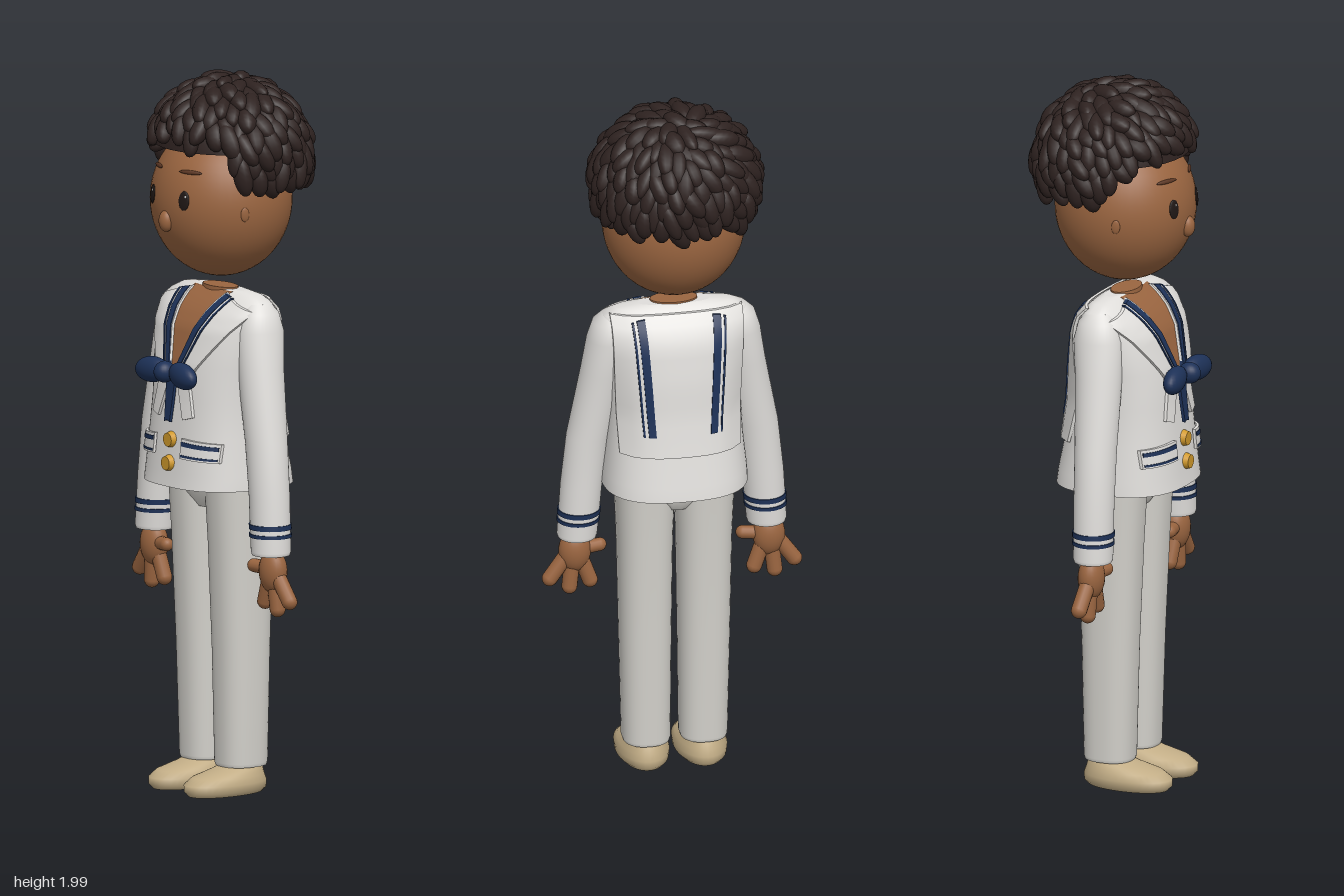
import * as THREE from 'three';

const mat = (name, color) => Object.assign(new THREE.MeshStandardMaterial({ color }), { name });
const M = {
  skin: mat('skin', 0x9a6540), white: mat('white cloth', 0xe0dedb), trousers: mat('trouser cloth', 0xd3d1cb),
  navy: mat('navy trim', 0x1d3157), hair: mat('dark hair', 0x2e2220), shoe: mat('tan shoe', 0xc2ad86),
  gold: mat('gold button', 0xd19a2c), eye: mat('eye', 0x1f1715), brow: mat('brow', 0x5a3623),
};
const V = (x, y, z) => new THREE.Vector3(x, y, z);

// Sections are [y, centreX, centreZ, radiusX, radiusZ], bottom to top
const TORSO = [[.86, 0, .027, .202, .182], [.9, 0, .027, .2, .176], [1.0, 0, .032, .19, .16],
  [1.1, 0, .034, .185, .146], [1.2, 0, .033, .192, .137], [1.3, 0, .026, .205, .114],
  [1.345, 0, .02, .21, .09], [1.375, 0, .015, .2, .063], [1.392, 0, .013, .165, .042], [1.4, 0, .013, .1, .028]];
const ARM = [[.69, .265, .046, .053, .052], [.7, .265, .046, .056, .055], [.85, .254, .043, .058, .056],
  [1.0, .236, .04, .06, .058], [1.2, .196, .03, .062, .066], [1.3, .182, .022, .06, .07],
  [1.35, .178, .02, .048, .056], [1.375, .172, .018, .028, .034]];
const LEG = [[.075, .08, .01, .064, .068], [.085, .08, .01, .067, .071], [.4, .082, .012, .072, .078],
  [.7, .083, .014, .077, .09], [.82, .083, .014, .082, .097], [.9, .083, .014, .084, .1]];
const SHOE = [[0, .081, .065, .06, .117], [.012, .081, .065, .072, .129], [.032, .081, .065, .074, .13],
  [.05, .081, .055, .067, .113], [.066, .081, .025, .056, .078], [.082, .081, .008, .045, .05]];

function sectionAt(rows, y) {
  let i = 0;
  while (i < rows.length - 2 && y > rows[i + 1][0]) i++;
  const t = THREE.MathUtils.clamp((y - rows[i][0]) / (rows[i + 1][0] - rows[i][0]), 0, 1);
  return rows[i].map((v, k) => v + (rows[i + 1][k] - v) * t);
}

// Loft through superellipse rings, closed with flat caps
function loft(rows, n = 2, side = 1, seg = 36) {
  const pos = [], idx = [];
  const ring = ([y, cx, cz, rx, rz]) => {
    for (let j = 0; j < seg; j++) {
      const a = j / seg * Math.PI * 2, c = Math.cos(a), s = Math.sin(a);
      pos.push(side * cx + rx * Math.sign(c) * Math.abs(c) ** (2 / n), y, cz + rz * Math.sign(s) * Math.abs(s) ** (2 / n));
    }
  };
  rows.forEach(ring);
  for (let i = 0; i < rows.length - 1; i++) for (let j = 0; j < seg; j++) {
    const a = i * seg + j, b = i * seg + (j + 1) % seg;
    idx.push(a, a + seg, b, b, a + seg, b + seg);
  }
  [rows[0], rows[rows.length - 1]].forEach((r, k) => {
    const base = pos.length / 3;
    ring(r);
    pos.push(side * r[1], r[0], r[2]);
    for (let j = 0; j < seg; j++) {
      const a = base + j, b = base + (j + 1) % seg;
      idx.push(base + seg, ...(k ? [b, a] : [a, b]));
    }
  });
  const g = new THREE.BufferGeometry();
  g.setAttribute('position', new THREE.Float32BufferAttribute(pos, 3));
  g.setIndex(idx);
  g.computeVertexNormals();
  return g;
}

const TORSO_N = 2.6;
function torsoZ(x, y, face) {
  const [, , cz, rx, rz] = sectionAt(TORSO, y);
  const u = Math.min(Math.abs(x / rx), .985);
  return cz + face * rz * (1 - u ** TORSO_N) ** (1 / TORSO_N);
}

// Cloth panel laid on the torso; corners run bl, br, tr, tl as seen from outside
function panel(c, lift, face = 1) {
  const g = new THREE.BoxGeometry(1, 1, 1, 10, 14, 1), p = g.attributes.position;
  for (let i = 0; i < p.count; i++) {
    const u = p.getX(i) + .5, v = p.getY(i) + .5, w = p.getZ(i) + .5;
    const at = k => (c[0][k] * (1 - u) + c[1][k] * u) * (1 - v) + (c[3][k] * (1 - u) + c[2][k] * u) * v;
    const x = at(0), y = at(1);
    p.setXYZ(i, x, y, torsoZ(x, y, face) + face * (w ? lift : lift - .009));
  }
  g.computeVertexNormals();
  return g;
}
const flip = c => [c[1], c[0], c[3], c[2]].map(([x, y]) => [-x, y]);

export function createModel() {
  const root = new THREE.Group();
  const add = (name, geo, m, parent = root) => {
    const mesh = new THREE.Mesh(geo, m);
    mesh.name = name;
    parent.add(mesh);
    return mesh;
  };
  const blob = (name, m, p, s, parent) => {
    const o = add(name, new THREE.SphereGeometry(1, 24, 16), m, parent);
    o.position.copy(p);
    o.scale.set(...s);
    return o;
  };
  const rod = (name, m, a, b, r) => {
    const d = b.clone().sub(a), o = add(name, new THREE.CapsuleGeometry(r, d.length(), 6, 14), m);
    o.position.copy(a).add(b).multiplyScalar(.5);
    o.quaternion.setFromUnitVectors(V(0, 1, 0), d.normalize());
  };
  const band = (rows, y0, y1, grow) => [y0, y1].map(y => {
    const r = sectionAt(rows, y);
    return [y, r[1], r[2], r[3] + grow, r[4] + grow];
  });

  // Jacket body, neck and open chest
  add('jacket', loft(TORSO, TORSO_N, 1, 56), M.white);
  add('neck', loft([[1.37, 0, .02, .07, .04], [1.404, 0, .02, .066, .036]]), M.skin);
  add('chest', panel([[-.01, 1.17], [.01, 1.17], [.085, 1.397], [-.085, 1.397]], .004), M.skin);
  const backFlap = [[.17, .99], [-.17, .99], [-.185, 1.385], [.185, 1.385]];
  add('collarBack', panel(backFlap, .014, -1), M.white);

  for (const s of [1, -1]) {
    const side = s > 0 ? 'left' : 'right';
    const cloth = (name, c, lift, m, face = 1) => add(side + name, panel(s > 0 ? c : flip(c), lift, face), m);

    // Sailor collar, striped front and back
    cloth('Lapel', [[.008, 1.17], [.07, 1.17], [.207, 1.355], [.075, 1.395]], .012, M.white);
    cloth('LapelStripe', [[.01, 1.18], [.026, 1.18], [.106, 1.388], [.082, 1.393]], .015, M.navy);
    cloth('LapelFineStripe', [[.032, 1.18], [.037, 1.18], [.121, 1.384], [.114, 1.386]], .015, M.navy);
    cloth('CollarTip', [[.055, 1.05], [.09, 1.06], [.06, 1.18], [.01, 1.18]], .01, M.white);
    cloth('BackStripe', [[.096, 1.05], [.076, 1.05], [.095, 1.378], [.118, 1.375]], .017, M.navy, -1);
    cloth('BackFineStripe', [[.11, 1.05], [.105, 1.05], [.126, 1.372], [.132, 1.37]], .017, M.navy, -1);

    // Pockets
    cloth('Pocket', [[.06, .945], [.168, .94], [.168, .992], [.06, 1.0]], .012, M.white);
    cloth('PocketStripe', [[.064, .98], [.165, .973], [.165, .984], [.064, .992]], .014, M.navy);
    cloth('PocketLowerStripe', [[.064, .95], [.165, .945], [.165, .951], [.064, .956]], .014, M.navy);

    // Neckerchief bow and tail
    const loop = blob(side + 'BowLoop', M.navy, V(s * .07, 1.176, .202), [.062, .036, .028]);
    loop.rotation.set(0, s * -.12, s * -.1);
    cloth('BowTail', [[-.012, 1.05], [.012, 1.04], [.02, 1.17], [0, 1.17]], .018, M.navy);

    // Sleeve and cuff stripes
    add(side + 'Sleeve', loft(ARM, 2, s), M.white);
    for (const [y0, y1] of [[.74, .75], [.762, .776]])
      add(side + 'CuffStripe', loft(band(ARM, y0, y1, .003), 2, s), M.navy);

    // Hand
    const palm = V(s * .272, .645, .044);
    blob(side + 'Palm', M.skin, palm, [.045, .062, .036]);
    for (const [x, y] of [[.342, .568], [.287, .54], [.23, .555]])
      rod(side + 'Finger', M.skin, V(s * (.272 + (x - .272) * .35), .63, .044), V(s * x, y, .04), .022);
    rod(side + 'Thumb', M.skin, V(s * .25, .65, .046), V(s * .2, .652, .055), .019);

    // Leg and shoe
    add(side + 'TrouserLeg', loft(LEG, 2.4, s), M.trousers);
    add(side + 'Shoe', loft(SHOE, 2.1, s), M.shoe);
  }
  add('trouserSeat', loft([[.79, 0, .014, .05, .07], [.83, 0, .014, .13, .095], [.9, 0, .014, .165, .1]], 2.4), M.trousers);
  blob('bowKnot', M.navy, V(0, 1.18, .212), [.028, .03, .032]);
  for (const y of [.99, .925]) {
    const b = add('button', new THREE.CylinderGeometry(.019, .023, .016, 20), M.gold);
    b.position.set(.005, y, torsoZ(0, y, 1) + .006);
    b.rotation.x = Math.PI / 2;
  }

  // Head and face
  const hc = V(0, 1.645, .018), hr = V(.198, .215, .195);
  const head = blob('head', M.skin, hc, hr.toArray());
  head.geometry = new THREE.SphereGeometry(1, 48, 32);
  blob('nose', M.skin, V(0, 1.6, .207), [.022, .03, .02]);
  const faceDetail = (name, m, x, y, size, roll = 0) => {
    const z = hr.z * Math.sqrt(1 - (x / hr.x) ** 2 - ((y - hc.y) / hr.y) ** 2);
    const n = V(x / hr.x ** 2, (y - hc.y) / hr.y ** 2, z / hr.z ** 2).normalize();
    const o = blob(name, m, V(x, y, hc.z + z), size);
    o.quaternion.setFromUnitVectors(V(0, 0, 1), n);
    o.rotateZ(roll);
  };
  for (const s of [1, -1]) {
    faceDetail('eye', M.eye, s * .071, 1.665, [.017, .027, .0045]);
    faceDetail('eyeGlint', M.white, s * .071 + .005, 1.676, [.004, .005, .0062]);
    faceDetail('eyebrow', M.brow, s * .072, 1.742, [.036, .006, .0045], s * .08);
    faceDetail('ear', M.skin, s * .188, 1.63, [.012, .02, .0045]);
  }

  // Hair: a cap covered with locks that swirl out from the crown
  const hair = new THREE.Group();
  hair.name = 'hair';
  root.add(hair);
  const c = V(0, 1.766, -.012), r = V(.217, .2, .205);
  const cap = blob('hairCap', M.hair, c, r.toArray(), hair);
  cap.geometry = new THREE.SphereGeometry(1, 32, 16, 0, Math.PI * 2, 0, 1.42);
  cap.material = M.hair;
  let seed = 7;
  const rnd = () => (seed = (seed * 16807) % 2147483647) / 2147483647 - .5;
  const lockGeo = new THREE.SphereGeometry(1, 12, 10), crown = V(0, 1, -.2).normalize();
  const N = 310;
  for (let i = 0; i < N; i++) {
    const y = 1 - (i + .5) / N * 2, a = i * 2.39996, q = Math.sqrt(1 - y * y);
    const d = V(q * Math.cos(a), y, q * Math.sin(a));
    const p = d.clone().multiply(r).add(c);
    const front = THREE.MathUtils.smoothstep(p.z, .06, .14);
    if (p.y < 1.705 + .13 * front + rnd() * .02) continue;
    const n = d.clone().divide(r).normalize();
    const down = crown.clone().negate().addScaledVector(n, crown.dot(n)).normalize();
    const swirl = n.clone().cross(down);
    const dir = down.addScaledVector(swirl, .35 + rnd() * .9).addScaledVector(n, .2 + rnd() * .35).normalize();
    const lock = add('hairLock', lockGeo, M.hair, hair);
    lock.position.copy(p).addScaledVector(n, rnd() * .014);
    lock.quaternion.setFromUnitVectors(V(0, 1, 0), dir);
    const w = .026 + rnd() * .006;
    lock.scale.set(w, .052 + rnd() * .016, w);
  }
  return root;
}
